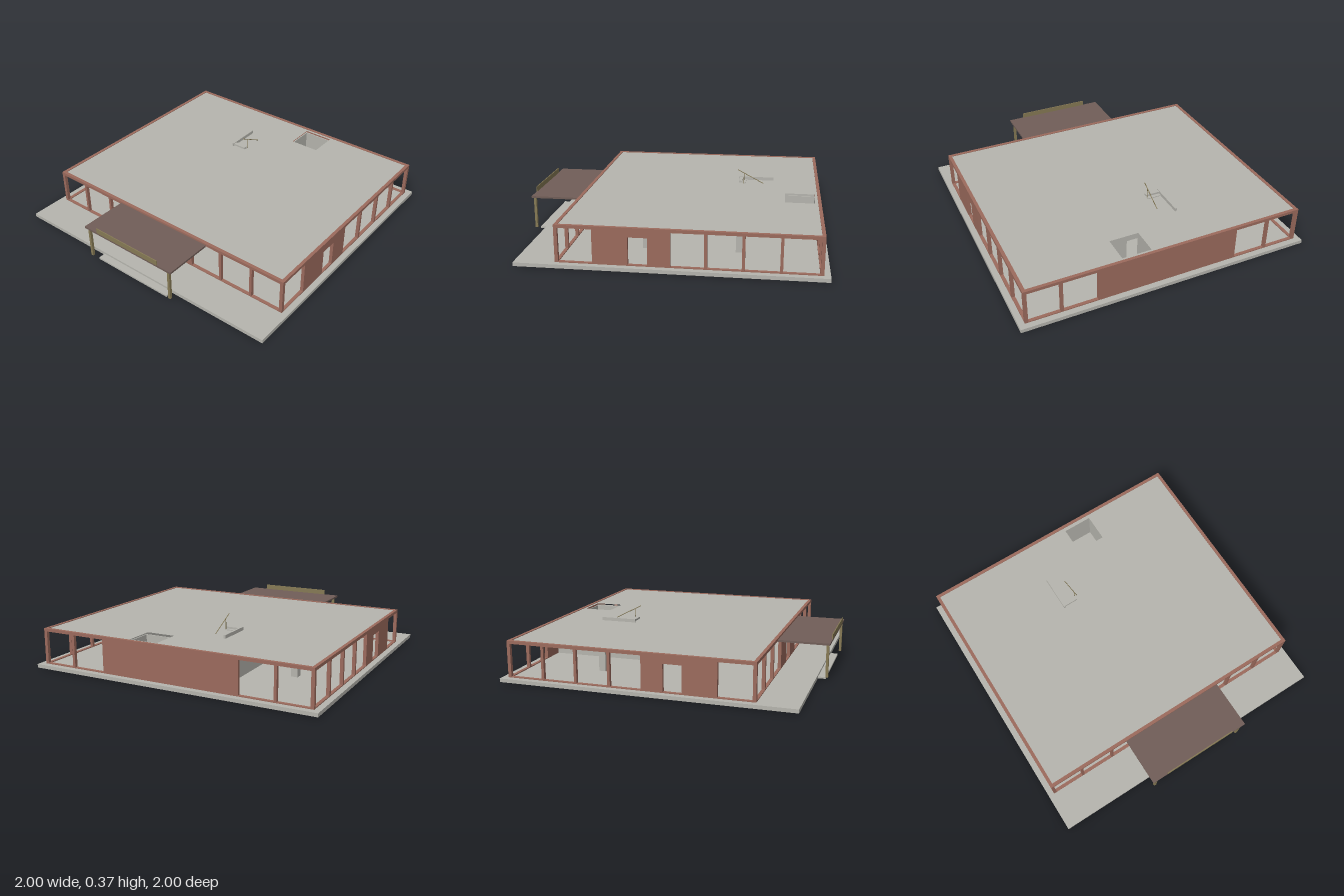
import * as THREE from 'three';

const material = (name, color) => {
  const m = new THREE.MeshStandardMaterial({ color });
  m.name = name;
  return m;
};

export function createModel() {
  const house = new THREE.Group();
  house.name = 'pavilion';
  const concrete = material('concrete', 0xb6b5ae);
  const brick = material('brick', 0x9c6b5d);
  const canopyBrown = material('canopyBrown', 0x715e58);
  const olive = material('olive', 0x867a55);

  // Box given by its extents on each axis
  const box = (name, mat, x0, x1, y0, y1, z0, z1, parent = house) => {
    const mesh = new THREE.Mesh(new THREE.BoxGeometry(x1 - x0, y1 - y0, z1 - z0), mat);
    mesh.position.set((x0 + x1) / 2, (y0 + y1) / 2, (z0 + z1) / 2);
    mesh.name = name;
    parent.add(mesh);
    return mesh;
  };
  const group = (name) => {
    const g = new THREE.Group();
    g.name = name;
    house.add(g);
    return g;
  };

  const FLOOR = 0.028, HEAD = 0.25, TOP = 0.27, DOOR = 0.21;
  const W = 0.96, BACK = -0.96, FRONT = 0.665, T = 0.022;

  // Foundation, terrace slab and entrance step
  box('foundation', concrete, -0.97, 0.97, 0, 0.004, -0.97, 0.665);
  box('terraceSlab', concrete, -1, 1, 0.004, FLOOR, -1, 0.92);
  box('entranceStep', concrete, -0.3, 0.3, 0.003, 0.015, 0.92, 0.97);

  // Roof slab with a square light well cut through it
  const wx0 = 0.1, wx1 = 0.31, wz0 = -0.92, wz1 = -0.72;
  const rect = (path, x0, x1, z0, z1) =>
    path.moveTo(x0, -z0).lineTo(x1, -z0).lineTo(x1, -z1).lineTo(x0, -z1).closePath();
  const roofShape = rect(new THREE.Shape(), -W + T, W - T, BACK + T, FRONT - T);
  roofShape.holes.push(rect(new THREE.Path(), wx0, wx1, wz0, wz1));
  const roof = new THREE.Mesh(
    new THREE.ExtrudeGeometry(roofShape, { depth: 0.016, bevelEnabled: false }), concrete);
  roof.rotation.x = -Math.PI / 2;
  roof.position.y = HEAD;
  roof.name = 'roofSlab';
  house.add(roof);

  // Brick ring beam at the top and thin sill at the floor
  for (const [name, y0, y1] of [['ringBeam', HEAD, TOP], ['sill', FLOOR, FLOOR + 0.006]]) {
    const ring = group(name);
    for (const s of [-1, 1]) {
      const x = s * (W - T / 2);
      box(name + 'Side', brick, x - T / 2, x + T / 2, y0, y1, BACK, FRONT, ring);
    }
    box(name + 'Front', brick, -W + T, W - T, y0, y1, FRONT - T, FRONT, ring);
    box(name + 'Back', brick, -W + T, W - T, y0, y1, BACK, BACK + T, ring);
  }

  // Posts along the front, back and both sides
  const posts = group('wallPosts');
  const post = (x, z, w, d) =>
    box('wallPost', brick, x - w / 2, x + w / 2, FLOOR, HEAD, z - d / 2, z + d / 2, posts);
  for (const s of [-1, 1]) {
    for (const z of [FRONT - T / 2, BACK + T / 2]) {
      post(s * (W - T / 2), z, T, T);
      post(s * 0.722, z, 0.018, T);
    }
    post(s * 0.484, FRONT - T / 2, 0.018, T);
    for (const z of [-0.262, -0.487, -0.712]) post(s * (W - T / 2), z, T, 0.018);
  }

  // Solid back wall, and side and front walls with doorways
  const walls = group('brickWalls');
  box('backWall', brick, -0.485, 0.485, FLOOR, HEAD, BACK, BACK + T, walls);
  for (const s of [-1, 1]) {
    const x0 = s > 0 ? W - T : -W, x1 = x0 + T;
    box('sideWallFront', brick, x0, x1, FLOOR, HEAD, 0.21, 0.43, walls);
    box('sideWallBack', brick, x0, x1, FLOOR, HEAD, -0.05, 0.09, walls);
    box('sideLintel', brick, x0, x1, DOOR, HEAD, 0.09, 0.21, walls);
    const f0 = s > 0 ? 0.065 : -0.25, f1 = s > 0 ? 0.25 : -0.068;
    box('frontWall', brick, f0, f1, FLOOR, HEAD, FRONT - T, FRONT, walls);
  }
  box('frontLintel', brick, -0.068, 0.065, DOOR, HEAD, FRONT - T, FRONT, walls);

  // Interior columns
  const columns = group('interiorColumns');
  for (const x of [-0.628, 0.628])
    for (const z of [-0.445, 0.15])
      box('interiorColumn', concrete, x - 0.023, x + 0.023, FLOOR, HEAD, z - 0.023, z + 0.023, columns);

  // Core partitions
  const core = group('corePartitions');
  for (const x of [-0.325, 0.34])
    box('corePartition', concrete, x - 0.006, x + 0.006, FLOOR, HEAD, BACK + T, -0.05, core);
  box('coreFrontPartition', concrete, 0.1, 0.334, FLOOR, HEAD, -0.062, -0.05, core);

  // Light well walls with a door on the inner side
  const well = group('lightWell');
  const t = 0.008;
  for (const x of [wx0 - t, wx1])
    box('wellSide', concrete, x, x + t, FLOOR, HEAD, wz0 - t, wz1 + t, well);
  box('wellBack', concrete, wx0, wx1, FLOOR, HEAD, wz0 - t, wz0, well);
  box('wellFront', concrete, wx0 + 0.08, wx1, FLOOR, HEAD, wz1, wz1 + t, well);
  box('wellLintel', concrete, wx0, wx0 + 0.08, DOOR, HEAD, wz1, wz1 + t, well);

  // Two-flight stair that emerges on the roof
  const stair = group('stair');
  const n = 10, run = 0.024, rise = 0.0128;
  for (let i = 0; i < n; i++) {
    const y = FLOOR + (i + 1) * rise;
    const z = -0.39 - i * run;
    box('lowerStep', concrete, -0.318, -0.226, y - rise, y, z - run, z, stair);
    const z2 = -0.63 + i * run;
    const y2 = 0.156 + (i + 1) * rise;
    box('upperStep', concrete, -0.214, -0.116, y2 - rise, y2, z2, z2 + run, stair);
  }
  box('stairLanding', concrete, -0.318, -0.116, 0.143, 0.156, -0.72, -0.63, stair);
  box('stairKerb', concrete, -0.226, -0.214, FLOOR, 0.289, -0.635, -0.385, stair);

  // Sloping handrail with its upright
  const rod = (name, a, b, r) => {
    const dir = b.clone().sub(a);
    const mesh = new THREE.Mesh(new THREE.CylinderGeometry(r, r, dir.length(), 6), olive);
    mesh.position.copy(a).addScaledVector(dir, 0.5);
    mesh.quaternion.setFromUnitVectors(new THREE.Vector3(0, 1, 0), dir.normalize());
    mesh.name = name;
    stair.add(mesh);
  };
  const v = (x, y, z) => new THREE.Vector3(x, y, z);
  rod('handrail', v(-0.117, 0.27, -0.565), v(-0.117, 0.365, -0.382), 0.0025);
  rod('handrailUpright', v(-0.117, 0.25, -0.425), v(-0.117, 0.343, -0.425), 0.002);

  // Entrance canopy with its posts and front board
  const canopy = group('entranceCanopy');
  box('canopyRoof', canopyBrown, -0.372, 0.37, 0.245, 0.258, FRONT, 0.998, canopy);
  for (const x of [-0.342, 0.342])
    box('canopyPost', olive, x - 0.009, x + 0.009, FLOOR, 0.245, 0.973, 0.99, canopy);
  box('canopyBoard', olive, -0.26, 0.26, 0.258, 0.293, 0.994, 1, canopy);

  return house;
}
